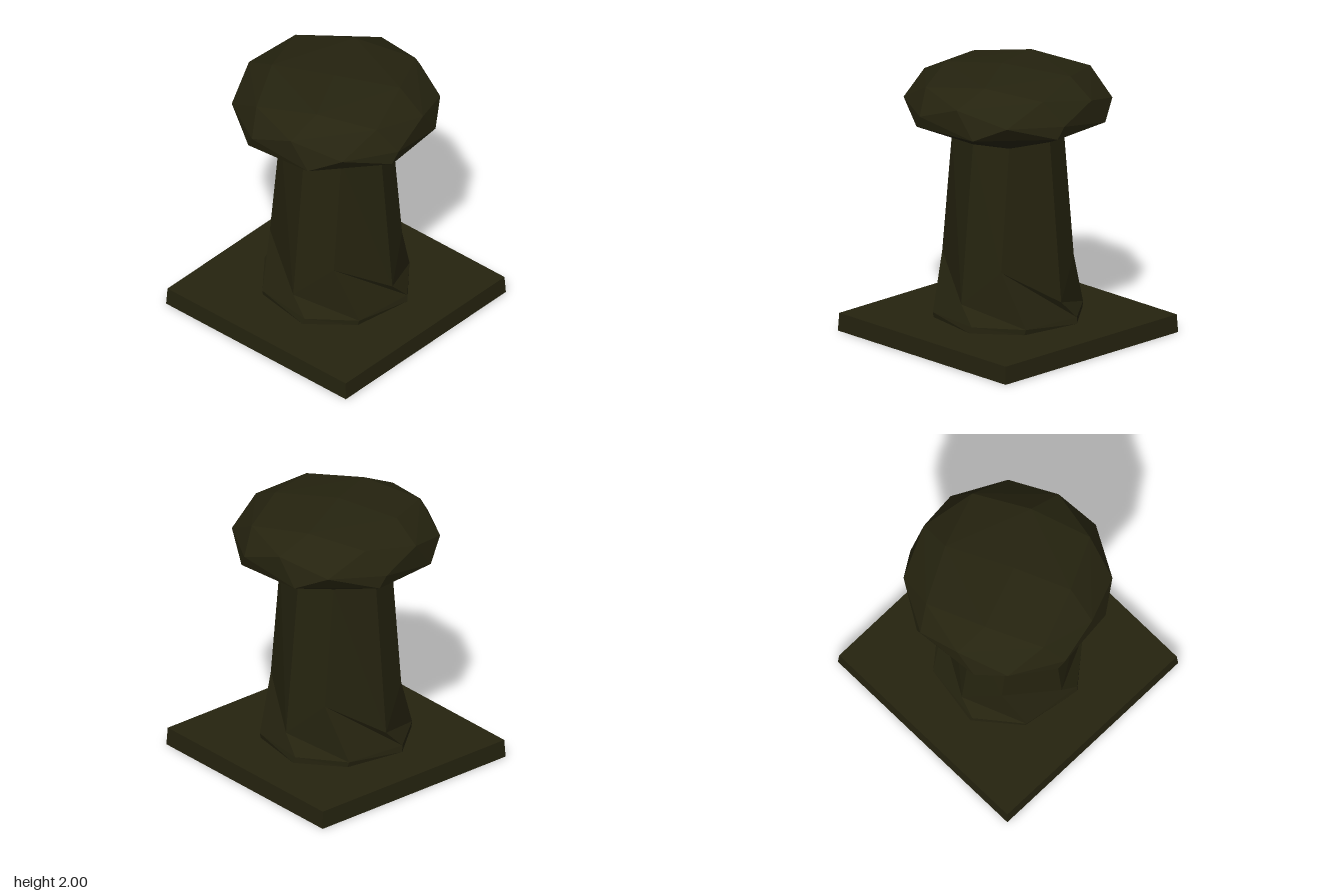
import * as THREE from 'three';
import { ConvexGeometry } from 'three/addons/geometries/ConvexGeometry.js';

// Repeats a few [x, y, z] corners by quarter turns about the vertical axis
function quarterTurns(corners) {
  const points = [];
  for (let q = 0; q < 4; q++) {
    for (const [x, y, z] of corners) {
      points.push(new THREE.Vector3(x, y, z).applyAxisAngle(new THREE.Vector3(0, 1, 0), q * Math.PI / 2));
    }
  }
  return points;
}

// Skins stacked rings of equal length, listed from top to bottom
function skinRings(rings) {
  const n = rings[0].length;
  const positions = rings.flat().flatMap((p) => [p.x, p.y, p.z]);
  const index = [];
  for (let r = 0; r < rings.length - 1; r++) {
    for (let i = 0; i < n; i++) {
      const j = (i + 1) % n;
      const a = r * n + i, b = r * n + j, c = a + n, d = b + n;
      index.push(a, c, d, a, d, b);
    }
  }
  const geometry = new THREE.BufferGeometry();
  geometry.setAttribute('position', new THREE.Float32BufferAttribute(positions, 3));
  geometry.setIndex(index);
  geometry.computeVertexNormals();
  return geometry;
}

export function createModel() {
  const model = new THREE.Group();
  model.name = 'mooringBollard';
  const iron = new THREE.MeshStandardMaterial({ color: 0x25230f, flatShading: true, side: THREE.DoubleSide });
  iron.name = 'darkOliveIron';

  const add = (name, geometry) => {
    const mesh = new THREE.Mesh(geometry, iron);
    mesh.name = name;
    model.add(mesh);
    return mesh;
  };

  // Square base plate, hollow underneath
  const profile = [[0.853, 0], [0.846, 0.132], [0, 0.132]]
    .map(([half, y]) => new THREE.Vector2(half * Math.SQRT2, y));
  add('basePlate', new THREE.LatheGeometry(profile, 4, Math.PI / 4));

  // Tapered column with a flared foot
  add('column', skinRings([
    [[0.04, 1.5, 0.385], [0.29, 1.5, 0.27]],
    [[0.04, 0.325, 0.5], [0.3, 0.59, 0.36]],
    [[0.17, 0.19, 0.525], [0.47, 0.185, 0.28]],
    [[0.16, 0.145, 0.535], [0.46, 0.145, 0.285]],
  ].map(quarterTurns)));

  // Faceted mushroom head
  const head = quarterTurns([
    [0.04, 1.495, 0.385], [0.29, 1.495, 0.27],
    [-0.2, 1.645, 0.71], [0.32, 1.645, 0.66],
    [-0.15, 1.735, 0.728], [0.525, 1.75, 0.522],
    [0.17, 1.845, 0.675], [-0.23, 1.905, 0.59],
    [0.2, 1.96, 0.43],
  ]);
  head.push(new THREE.Vector3(-0.04, 2, 0.02));
  add('head', new ConvexGeometry(head));

  // Flat triangular bolt tops at the plate corners
  const boltShape = new THREE.CircleGeometry(0.093, 3, Math.PI / 2).rotateX(-Math.PI / 2);
  for (const x of [-0.64, 0.64]) {
    for (const z of [-0.643, 0.643]) {
      const bolt = add('boltTop', boltShape);
      bolt.position.set(x, 0.18, z);
      if (z < 0) bolt.rotation.y = Math.PI;
    }
  }
  return model;
}
